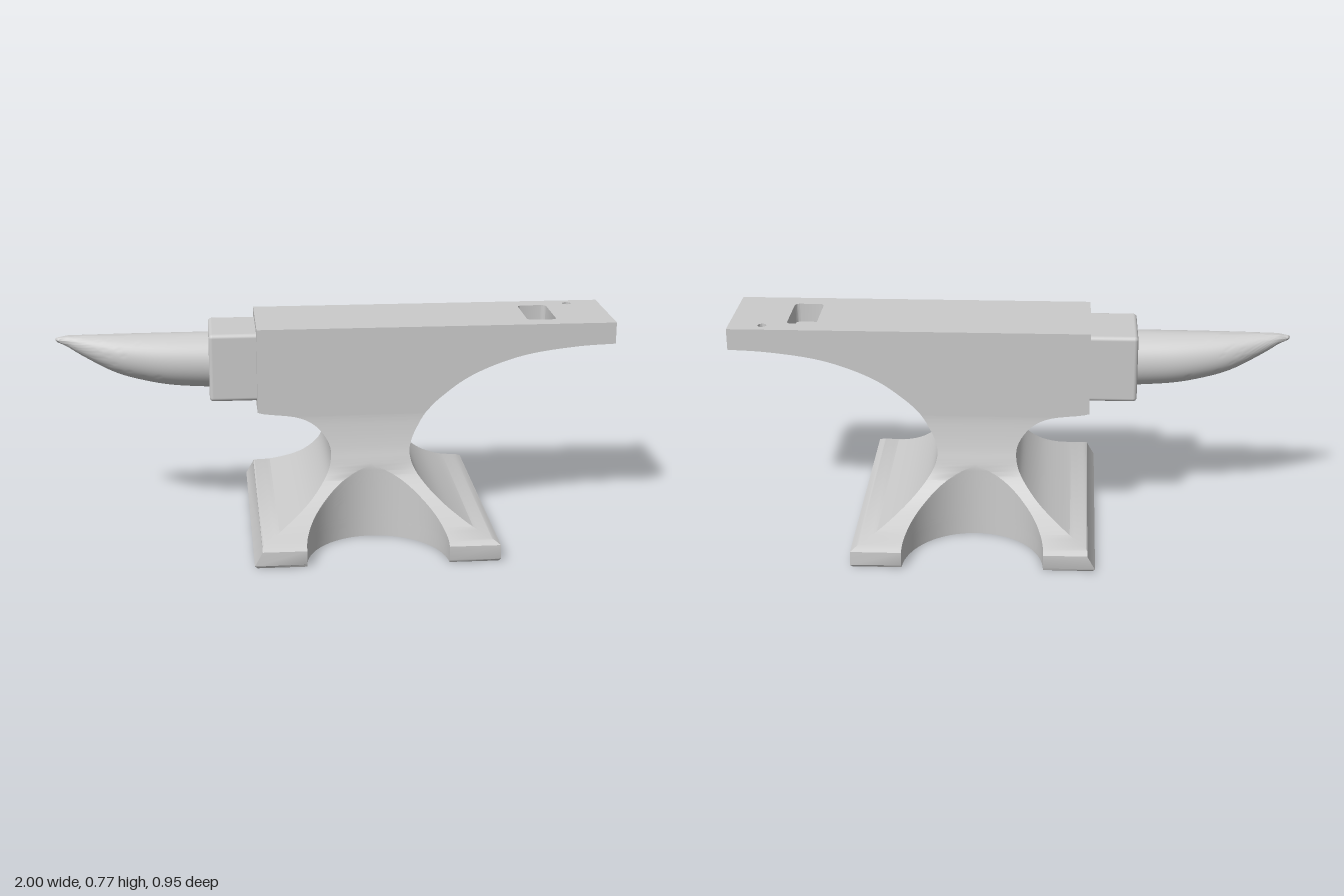
import * as THREE from 'three';
import { toCreasedNormals } from 'three/addons/utils/BufferGeometryUtils.js';
import { RoundedBoxGeometry } from 'three/addons/geometries/RoundedBoxGeometry.js';

const TOP = 0.775, HALF = 0.165, HEEL = -0.285;

// Skin between rings of [x, y, z] points
function loft(rings) {
  const n = rings[0].length, index = [];
  for (let i = 0; i < rings.length - 1; i++) {
    for (let j = 0; j < n; j++) {
      const a = i * n + j, b = i * n + (j + 1) % n;
      index.push(a, b, b + n, a, b + n, a + n);
    }
  }
  const g = new THREE.BufferGeometry();
  g.setAttribute('position', new THREE.Float32BufferAttribute(rings.flat(2), 3));
  g.setIndex(index);
  return toCreasedNormals(g, 0.6);
}

// Rectangular section whose front and back are bitten by an elliptical scoop
function section(y, xl, xr, zw) {
  const cx = 0.12, rx = 0.25, depth = 0.27, rim = 0.47, steps = 32;
  const t0 = Math.asin(THREE.MathUtils.clamp((rim - zw) / depth, 0, 1));
  const side = [[xl, y, zw]];
  for (let i = 0; i <= steps; i++) {
    const t = Math.PI - t0 - (Math.PI - 2 * t0) * i / steps;
    side.push([cx + rx * Math.cos(t), y, Math.min(zw, rim - depth * Math.sin(t))]);
  }
  side.push([xr, y, zw]);
  return [...side, ...side.map(([x, , z]) => [x, y, -z]).reverse()];
}

function bodyRings() {
  // height, left edge, right edge, half depth
  const profile = [
    [0.06, -0.31, 0.55, 0.47], [0.075, -0.28, 0.523, 0.443], [0.107, -0.205, 0.447, 0.37],
    [0.166, -0.11, 0.356, 0.28], [0.24, -0.045, 0.286, 0.214], [0.305, -0.025, 0.26, 0.19],
    [0.36, -0.035, 0.267, 0.177], [0.417, -0.08, 0.294, 0.168], [0.45, -0.15, 0.314, HALF],
    [0.47, HEEL, 0.33, HALF], [0.51, HEEL, 0.37, HALF], [0.578, HEEL, 0.46, HALF],
    [0.63, HEEL, 0.57, HALF], [0.668, HEEL, 0.7, HALF], [0.69, HEEL, 0.865, HALF],
    [0.697, HEEL, 1, HALF],
  ];
  const curve = (k) => new THREE.CatmullRomCurve3(
    profile.map((p) => new THREE.Vector3(p[k], p[0], p[3])), false, 'catmullrom');
  const left = curve(1), right = curve(2), steps = 75;
  const rings = [section(0, -0.303, 0.543, 0.465), section(0.01, -0.313, 0.552, 0.473)];
  for (let i = 0; i <= steps; i++) {
    const l = left.getPoint(i / steps), r = right.getPoint(i / steps);
    rings.push(section(l.y, Math.max(l.x, HEEL), Math.min(r.x, 1), Math.max(l.z, HALF)));
  }
  rings.push(section(TOP, HEEL, 1, HALF));
  return rings;
}

// Rounded rectangle outline in (x, -z)
function roundedRect(cx, cy, w, h, r) {
  const p = new THREE.Path();
  [[1, -1], [1, 1], [-1, 1], [-1, -1]].forEach(([sx, sy], i) => {
    const a = (i - 1) * Math.PI / 2;
    p.absarc(cx + sx * (w / 2 - r), cy + sy * (h / 2 - r), r, a, a + Math.PI / 2, false);
  });
  p.closePath();
  return p;
}

export function createModel() {
  const group = new THREE.Group();
  const material = new THREE.MeshStandardMaterial({ color: 0xcccccc });
  const add = (name, geometry) => {
    const mesh = new THREE.Mesh(geometry, material);
    mesh.name = name;
    group.add(mesh);
    return mesh;
  };

  // Flared foot, waist and heel in one skin
  const rings = bodyRings();
  add('body', loft(rings));
  const sole = new THREE.Shape(rings[0].map(([x, , z]) => new THREE.Vector2(x, z)));
  add('sole', new THREE.ShapeGeometry(sole).rotateX(Math.PI / 2));

  // Working face with a square and a round blind hole
  const squareHole = roundedRect(0.743, 0, 0.106, 0.204, 0.018);
  const roundHole = new THREE.Path().absarc(0.88, 0.122, 0.016, 0, Math.PI * 2, false);
  const face = new THREE.Shape([[HEEL, -HALF], [1, -HALF], [1, HALF], [HEEL, HALF]]
    .map(([x, y]) => new THREE.Vector2(x, y)));
  face.holes.push(squareHole, roundHole);
  add('face', new THREE.ShapeGeometry(face).rotateX(-Math.PI / 2).translate(0, TOP, 0));

  // Hole walls and floors
  const pocket = (name, path, depth) => {
    const pts = path.getPoints(12);
    add(name + 'Wall', loft([TOP, TOP - depth].map((y) => pts.map((p) => [p.x, y, -p.y]))));
    add(name + 'Floor', new THREE.ShapeGeometry(new THREE.Shape(pts))
      .rotateX(-Math.PI / 2).translate(0, TOP - depth, 0));
  };
  pocket('squareHole', squareHole, 0.07);
  pocket('roundHole', roundHole, 0.06);

  // Stepped block between body and horn
  add('neck', new RoundedBoxGeometry(0.203, 0.247, 0.256, 4, 0.014)).position.set(-0.352, 0.626, 0);

  // Horn: round sections hung from a level top line
  const outline = new THREE.SplineCurve([
    [0.1, 0.44], [0.095, 0.58], [0.085, 0.687], [0.069, 0.79],
    [0.039, 0.9], [0.014, 0.975], [0.008, 0.993], [0, 1],
  ].map(([r, t]) => new THREE.Vector2(r, t)));
  const horn = new THREE.LatheGeometry(outline.getPoints(42), 48);
  const pos = horn.attributes.position;
  for (let i = 0; i < pos.count; i++) {
    const x = pos.getX(i), y = pos.getY(i), z = pos.getZ(i), r = Math.hypot(x, z);
    pos.setXYZ(i, -y, x + 0.714 + 0.012 * Math.min(1, r / 0.02) - r, z);
  }
  add('horn', toCreasedNormals(horn, 1));
  return group;
}
